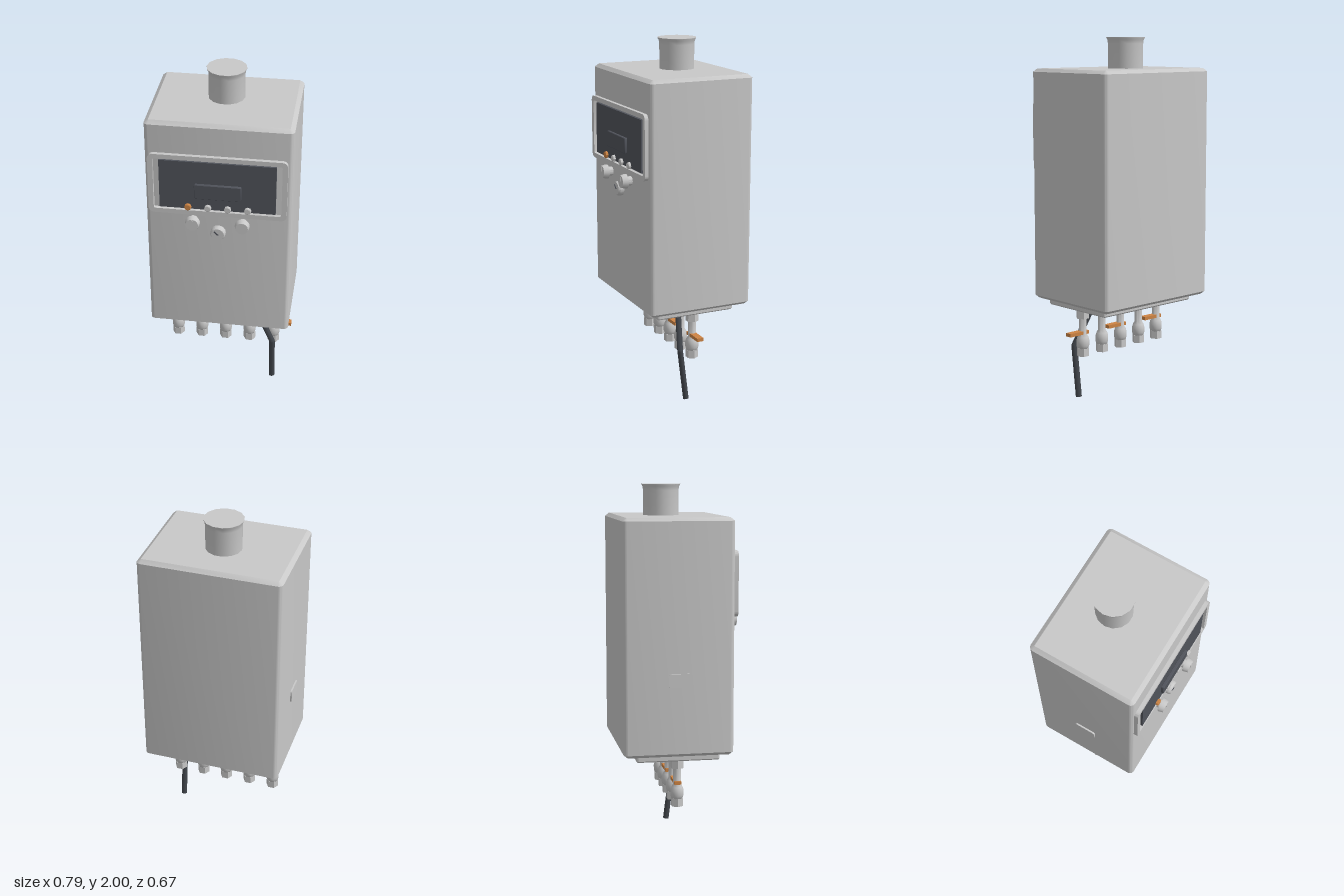
import * as THREE from 'three';
import { toCreasedNormals } from 'three/addons/utils/BufferGeometryUtils.js';

const material = (name, color) => {
  const m = new THREE.MeshStandardMaterial({ color });
  m.name = name;
  return m;
};

function roundedRect(w, h, r, Type = THREE.Shape) {
  const s = new Type(), x = w / 2, y = h / 2;
  s.moveTo(-x + r, -y);
  s.lineTo(x - r, -y);
  s.absarc(x - r, -y + r, r, -Math.PI / 2, 0);
  s.lineTo(x, y - r);
  s.absarc(x - r, y - r, r, 0, Math.PI / 2);
  s.lineTo(-x + r, y);
  s.absarc(-x + r, y - r, r, Math.PI / 2, Math.PI);
  s.lineTo(-x, -y + r);
  s.absarc(-x + r, -y + r, r, Math.PI, Math.PI * 1.5);
  return s;
}

// Extrudes a shape from z = 0 to z = depth, with a chamfer inside its outline.
function slab(shape, depth, bevel = 0, rise = bevel) {
  const g = new THREE.ExtrudeGeometry(shape, {
    depth: depth - 2 * rise, curveSegments: 5,
    bevelEnabled: bevel > 0, bevelSize: bevel, bevelOffset: -bevel, bevelThickness: rise, bevelSegments: 1,
  });
  g.translate(0, 0, rise);
  return toCreasedNormals(g, 0.5);
}

// Turned solid about y, from [radius, height] pairs.
function turned(points, sides, crease = 0.6) {
  const profile = points.map(([r, y]) => new THREE.Vector2(r, y));
  return toCreasedNormals(new THREE.LatheGeometry(profile, sides, Math.PI / 2), crease);
}

export function createModel() {
  const model = new THREE.Group();
  model.name = 'wallBoiler';
  const shell = material('light grey', 0xc8c8c8);
  const dark = material('dark grey', 0x50535b);
  const rubber = material('cable grey', 0x42464c);
  const copper = material('copper', 0xcd8444);

  const add = (name, geometry, mat, x = 0, y = 0, z = 0, parent = model) => {
    const mesh = new THREE.Mesh(geometry, mat);
    mesh.name = name;
    mesh.position.set(x, y, z);
    parent.add(mesh);
    return mesh;
  };

  // Cabinet and bottom tray, extruded upwards
  add('cabinet', slab(roundedRect(0.782, 0.603, 0.026), 1.285, 0.023, 0.018), shell, 0.004, 0.545, -0.0315)
    .rotation.x = -Math.PI / 2;
  add('bottomTray', slab(roundedRect(0.667, 0.461, 0.012), 0.042, 0.007), shell, 0.003, 0.508, -0.0265)
    .rotation.x = -Math.PI / 2;

  // Flue with a flared lip
  add('flue', turned([[0.098, 0], [0.098, 0.145], [0.101, 0.165], [0.108, 0.178], [0.108, 0.18], [0, 0.18]], 14),
    shell, 0.002, 1.82, -0.067);

  // Control panel
  const frame = roundedRect(0.738, 0.355, 0.03);
  frame.holes.push(roundedRect(0.682, 0.303, 0.008, THREE.Path));
  add('panelFrame', slab(frame, 0.026), shell, 0, 1.475, 0.265);
  add('screen', new THREE.BoxGeometry(0.62, 0.285, 0.022), dark, 0, 1.475, 0.276);
  add('display', slab(roundedRect(0.25, 0.086, 0.008), 0.018, 0.003), dark, 0.003, 1.447, 0.285);
  [-0.157, -0.05, 0.056, 0.163].forEach((x, i) => {
    add('button', turned([[0, 0], [0.019, 0], [0.019, 0.015], [0.015, 0.018], [0, 0.018]], 8),
      i === 0 ? copper : shell, x, 1.346, 0.285).rotation.x = Math.PI / 2;
  });

  // Rotary knobs with pointers
  for (const x of [-0.131, 0.136]) {
    const knob = new THREE.Group();
    knob.name = 'knob';
    knob.position.set(x, 1.256, 0.265);
    model.add(knob);
    add('knobBody', turned([[0, 0], [0.025, 0], [0.025, 0.034], [0.04, 0.034], [0.04, 0.043],
      [0.034, 0.066], [0, 0.066]], 16), shell, 0, 0, 0, knob).rotation.x = Math.PI / 2;
    add('knobPointer', new THREE.BoxGeometry(0.007, 0.028, 0.004), shell, 0, 0.015, 0.066, knob);
  }

  // Pressure gauge
  const gauge = new THREE.Group();
  gauge.name = 'gauge';
  gauge.position.set(0.003, 1.187, 0.265);
  model.add(gauge);
  add('gaugeBody', turned([[0, 0], [0.041, 0], [0.041, 0.026], [0.035, 0.037], [0, 0.037]], 16), shell, 0, 0, 0, gauge)
    .rotation.x = Math.PI / 2;
  add('gaugeNeedle', new THREE.BoxGeometry(0.007, 0.03, 0.004), dark, -0.008, 0.009, 0.038, gauge)
    .rotation.z = Math.PI / 4;

  // Rating plate on the side
  add('sidePlate', slab(roundedRect(0.122, 0.075, 0.012), 0.009), shell, -0.388, 0.965, -0.03)
    .rotation.y = -Math.PI / 2;

  // Five pipe connections, every other one with a valve lever
  for (let i = 0; i < 5; i++) {
    const pipe = new THREE.Group();
    pipe.name = 'pipeConnection';
    pipe.position.set(-0.283 + i * 0.143, 0, -0.027);
    model.add(pipe);
    add('topNut', turned([[0, 0.462], [0.037, 0.462], [0.037, 0.51], [0, 0.51]], 6, 0.1), shell, 0, 0, 0, pipe);
    add('valveBody', turned([[0.02, 0.28], [0.03, 0.288], [0.037, 0.308], [0.037, 0.335], [0.031, 0.355],
      [0.022, 0.37], [0.022, 0.47]], 12, 0.9), shell, 0, 0, 0, pipe);
    add('bottomNut', turned([[0, 0.247], [0.035, 0.247], [0.035, 0.292], [0, 0.292]], 6, 0.1), shell, 0, 0, 0, pipe);
    if (i % 2 === 0) {
      add('valveLever', new THREE.BoxGeometry(0.133, 0.019, 0.038), copper, 0.039, 0.381, 0, pipe);
    }
  }

  // Power cable: two straight runs meeting at a bend
  const path = [[0.178, 0.515, 0.008], [0.289, 0.29, 0.045], [0.289, 0.002, 0.009]]
    .map((p) => new THREE.Vector3(...p));
  for (let i = 0; i < 2; i++) {
    const run = path[i + 1].clone().sub(path[i]);
    const mesh = add('cable', new THREE.CylinderGeometry(0.017, 0.017, run.length(), 8), rubber);
    mesh.position.copy(path[i]).addScaledVector(run, 0.5);
    mesh.quaternion.setFromUnitVectors(new THREE.Vector3(0, -1, 0), run.normalize());
  }
  add('cableBend', new THREE.SphereGeometry(0.017, 8, 6), rubber, ...path[1].toArray());

  return model;
}
